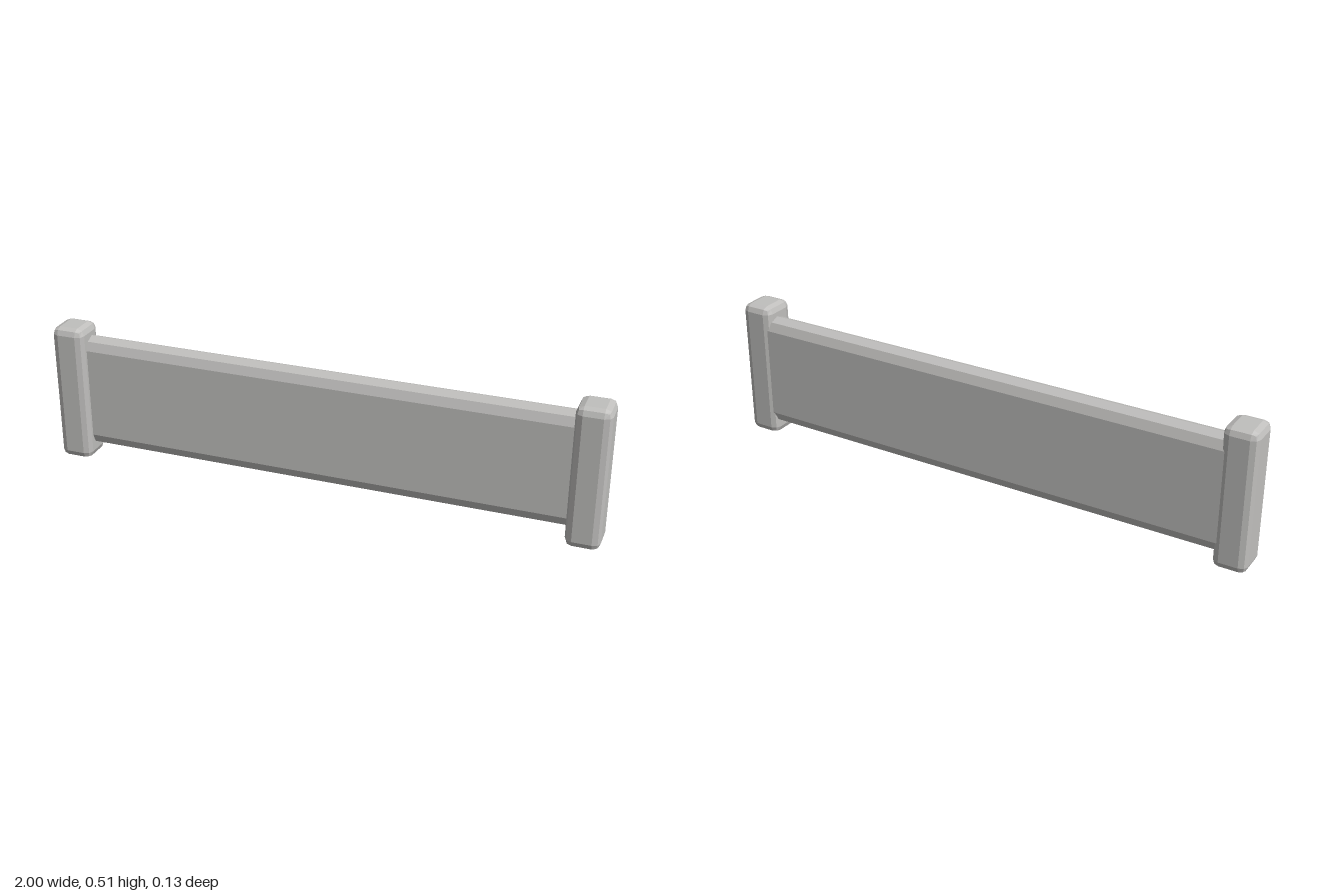
import * as THREE from 'three';
import { RoundedBoxGeometry } from 'three/addons/geometries/RoundedBoxGeometry.js';

const HEIGHT = 0.512;

export function createModel() {
  const group = new THREE.Group();
  const lightGrey = new THREE.MeshStandardMaterial({ color: 0xc0bfbd });
  lightGrey.name = 'lightGrey';

  // End posts: boxes with a two-facet bevel, flat shaded
  const postGeometry = new RoundedBoxGeometry(0.12, HEIGHT, 0.13, 1, 0.026);
  postGeometry.computeVertexNormals();
  for (const [name, side] of [['leftPost', 1], ['rightPost', -1]]) {
    const post = new THREE.Mesh(postGeometry, lightGrey);
    post.name = name;
    post.position.set(side * 0.94, HEIGHT / 2, 0);
    group.add(post);
  }

  // Panel: faceted stadium cross-section, set towards the back of the posts
  const radius = 0.045, straight = 0.167, length = 1.84;
  const profile = [];
  for (const end of [1, -1]) {
    for (let i = 0; i <= 4; i++) {
      const a = (i / 4) * Math.PI;
      profile.push(new THREE.Vector2(
        end * radius * Math.cos(a),
        end * (straight + radius * Math.sin(a))
      ));
    }
  }
  const panelGeometry = new THREE.ExtrudeGeometry(new THREE.Shape(profile), {
    depth: length, bevelEnabled: false
  });
  panelGeometry.translate(0, 0, -length / 2).rotateY(Math.PI / 2);
  const panel = new THREE.Mesh(panelGeometry, lightGrey);
  panel.name = 'panel';
  panel.position.set(0, 0.258, -0.015);
  group.add(panel);

  return group;
}
